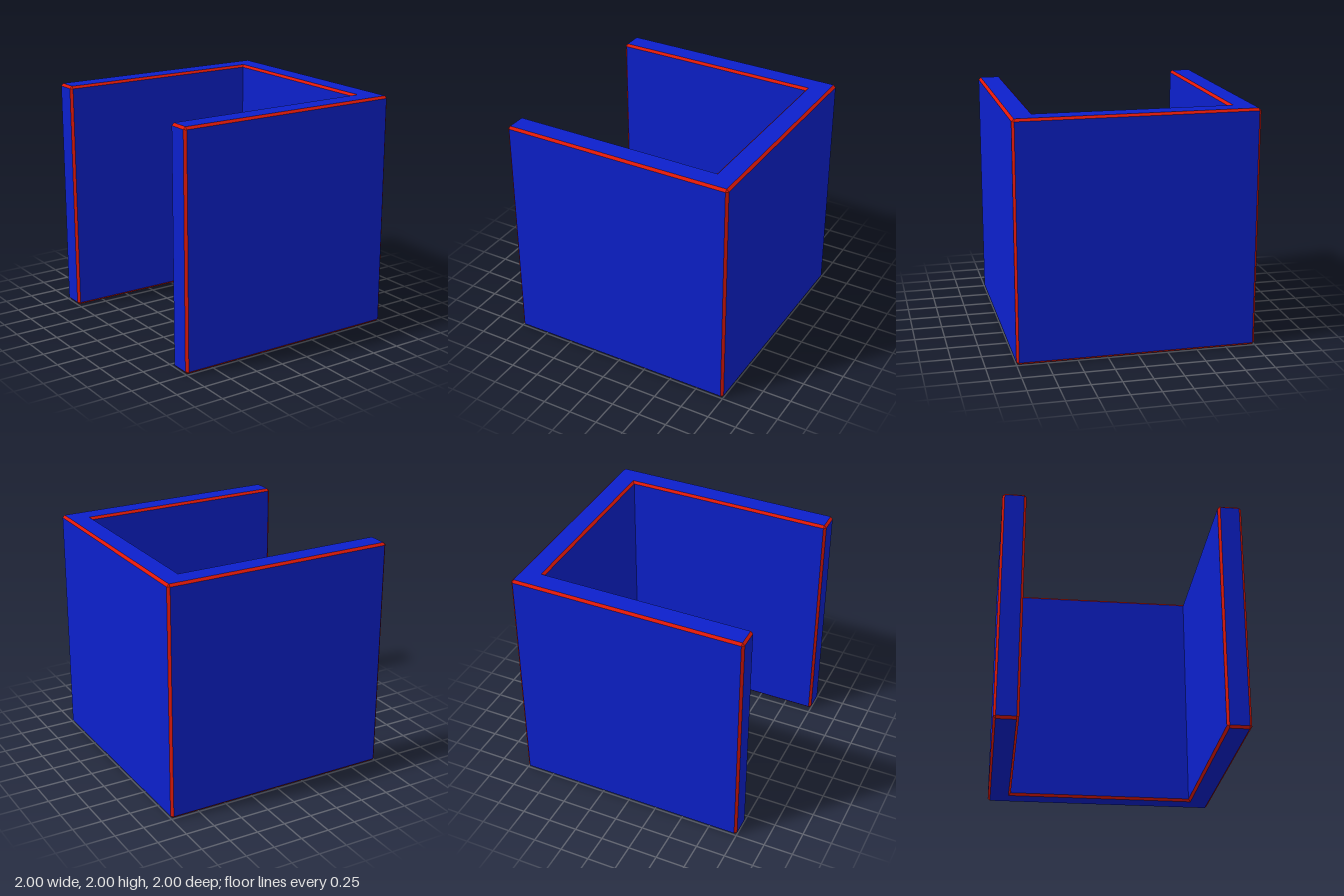
import * as THREE from 'three';

const H = 2, T = 0.2, C = 0.02; // height, wall thickness, chamfer

// Collects triangles and quads (counter-clockwise from outside) into a mesh
function faceSet(name, color) {
  const pos = [];
  const add = (a, b, c, d) => {
    pos.push(...a, ...b, ...c);
    if (d) pos.push(...a, ...c, ...d);
  };
  const mesh = () => {
    const g = new THREE.BufferGeometry();
    g.setAttribute('position', new THREE.Float32BufferAttribute(pos, 3));
    g.computeVertexNormals();
    const m = new THREE.Mesh(g, new THREE.MeshStandardMaterial({ color, flatShading: true }));
    m.name = name;
    return m;
  };
  return { add, mesh };
}

export function createModel() {
  const walls = faceSet('wallFaces', 0x0c20cc);
  const trim = faceSet('chamferedEdges', 0xe01808);

  // U-shaped plan as (x, z), counter-clockwise from above
  const i = 1 - T;
  const plan = [[-1, 1], [1, 1], [1, -1], [-1, -1], [-1, -i], [i, -i], [i, i], [-1, i]]
    .map(([x, z]) => new THREE.Vector2(x, z));
  const n = plan.length;
  const dir = (k) => plan[(k + 1) % n].clone().sub(plan[k % n]).normalize();
  const left = (d) => new THREE.Vector2(d.y, -d.x);

  // Each corner: inset cap point, and where its chamfer meets the two walls
  const corners = plan.map((p, k) => {
    const d0 = dir(k + n - 1), d1 = dir(k);
    const convex = left(d0).dot(d1) > 0;
    const s = convex ? C : 0;
    return {
      convex,
      cap: p.clone().addScaledVector(left(d0), C).addScaledVector(left(d1), C),
      before: p.clone().addScaledVector(d0, -s),
      after: p.clone().addScaledVector(d1, s),
    };
  });
  const at = (p, y) => [p.x, y, p.y];
  const lo = C, hi = H - C;

  corners.forEach((a, k) => {
    const b = corners[(k + 1) % n];
    // Flat wall, with a chamfer along its top and bottom
    walls.add(at(a.after, lo), at(b.before, lo), at(b.before, hi), at(a.after, hi));
    trim.add(at(a.after, hi), at(b.before, hi), at(b.cap, H), at(a.cap, H));
    trim.add(at(a.cap, 0), at(b.cap, 0), at(b.before, lo), at(a.after, lo));
    // Upright chamfer and its end triangles on outer corners
    if (a.convex) {
      trim.add(at(a.before, lo), at(a.after, lo), at(a.after, hi), at(a.before, hi));
      trim.add(at(a.before, hi), at(a.after, hi), at(a.cap, H));
      trim.add(at(a.cap, 0), at(a.after, lo), at(a.before, lo));
    }
  });

  // Top and bottom faces, one quad for each of the three walls
  for (const quad of [[0, 1, 6, 7], [1, 2, 5, 6], [2, 3, 4, 5]]) {
    const caps = quad.map((k) => corners[k].cap);
    walls.add(...caps.map((p) => at(p, H)));
    walls.add(...caps.reverse().map((p) => at(p, 0)));
  }

  const group = new THREE.Group();
  group.name = 'uShapedWall';
  group.add(walls.mesh(), trim.mesh());
  return group;
}
